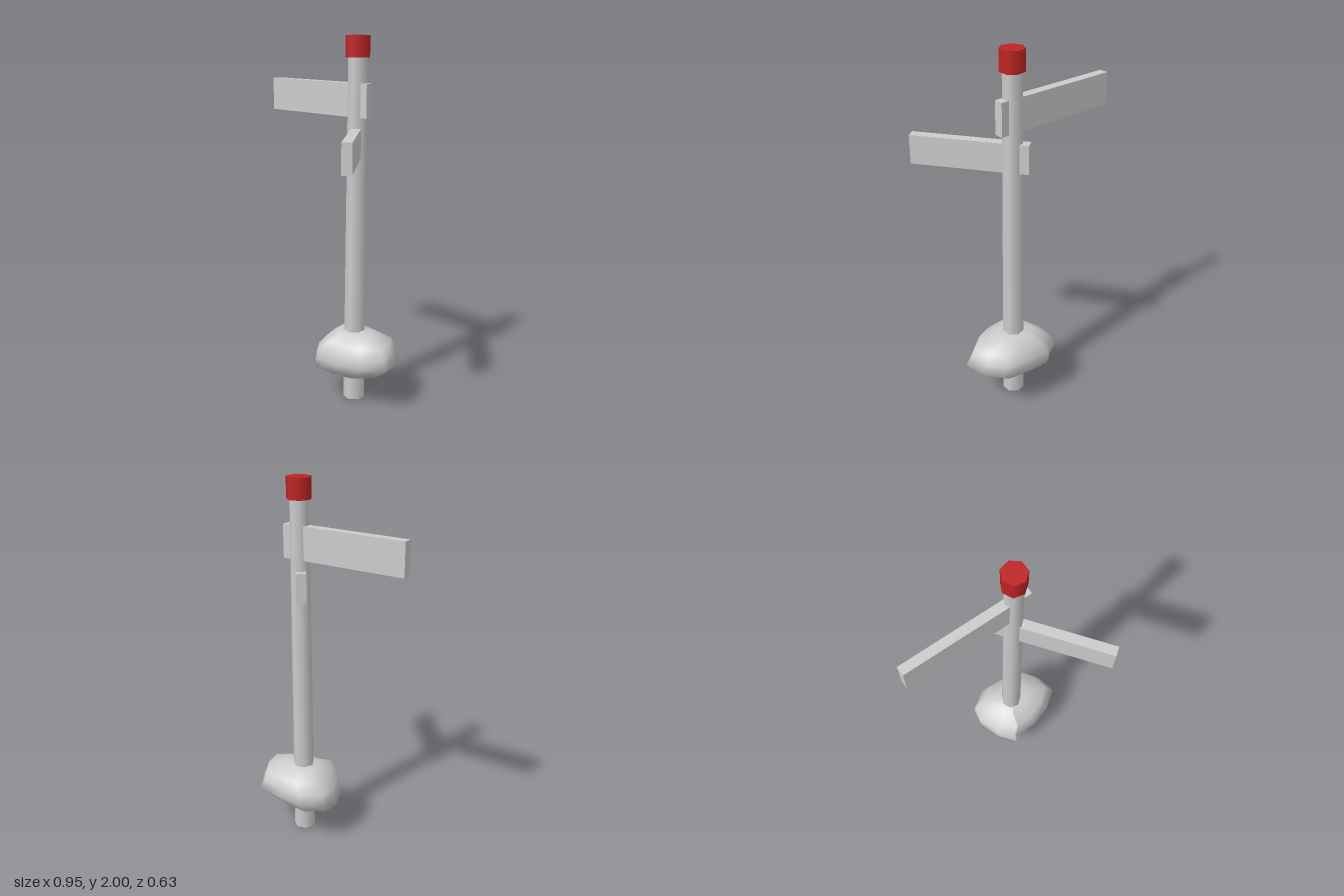
import * as THREE from 'three';

const X = 0.14, Z = -0.125; // post axis

const grey = new THREE.MeshStandardMaterial({ color: 0xcccccc });
grey.name = 'grey';
const red = new THREE.MeshStandardMaterial({ color: 0xc02424 });
red.name = 'red';

function add(group, name, geometry, material, x, y, z) {
  const mesh = new THREE.Mesh(geometry, material);
  mesh.name = name;
  mesh.position.set(x, y, z);
  group.add(mesh);
  return mesh;
}

// Seven-sided cylinder with one corner pointing to -x
function heptagon(rTop, rBottom, height) {
  return new THREE.CylinderGeometry(rTop, rBottom, height, 7, 1, false, -Math.PI / 2);
}

// Lumpy boulder: one irregular outline fitted into the bounds of each level
function boulderGeometry() {
  const outline = [
    [0, 0.42], [0.03, 0.19], [0.15, 0.1], [0.25, 0], [0.55, 0.025], [0.82, 0.09], [0.95, 0.33],
    [1, 0.64], [0.79, 0.84], [0.55, 0.94], [0.27, 0.95], [0.23, 1], [0.09, 0.77],
  ];
  // y, min x, max x, min z, max z
  const levels = [
    [0.155, 0.04, 0.25, -0.22, 0.0],
    [0.2, -0.08, 0.35, -0.28, 0.055],
    [0.255, -0.08, 0.425, -0.315, 0.08],
    [0.305, -0.075, 0.395, -0.305, 0.065],
    [0.36, -0.02, 0.375, -0.28, 0.04],
    [0.4, 0.04, 0.27, -0.21, -0.04],
  ];
  const n = outline.length;
  const positions = [], index = [];
  for (const [y, x0, x1, z0, z1] of levels) {
    for (const [u, v] of outline) positions.push(x0 + u * (x1 - x0), y, z0 + v * (z1 - z0));
  }
  const bottom = n * levels.length, top = bottom + 1;
  positions.push(0.145, 0.153, -0.11, 0.16, 0.41, -0.125);
  const last = n * (levels.length - 1);
  for (let i = 0; i < n; i++) {
    const j = (i + 1) % n;
    for (let k = 0; k < last; k += n) {
      index.push(k + i, k + n + i, k + j, k + j, k + n + i, k + n + j);
    }
    index.push(bottom, i, j, top, last + j, last + i);
  }
  const geometry = new THREE.BufferGeometry();
  geometry.setAttribute('position', new THREE.Float32BufferAttribute(positions, 3));
  geometry.setIndex(index);
  geometry.computeVertexNormals();
  return geometry;
}

export function createModel() {
  const model = new THREE.Group();
  model.name = 'signpost';

  // Tapered post and its painted cap
  add(model, 'post', heptagon(0.05, 0.06, 1.9), grey, X, 0.95, Z);
  add(model, 'cap', heptagon(0.065, 0.065, 0.11), red, X, 1.945, Z);

  // Two direction boards passing through the post
  add(model, 'upperBoard', new THREE.BoxGeometry(0.7, 0.175, 0.05), grey, -0.125, 1.6725, Z);
  const lower = add(model, 'lowerBoard', new THREE.BoxGeometry(0.6125, 0.155, 0.052), grey, 0.27, 1.4525, 0.05);
  lower.rotation.y = -0.927;

  // Boulder around the foot
  add(model, 'boulder', boulderGeometry(), grey, 0, 0, 0);
  return model;
}
